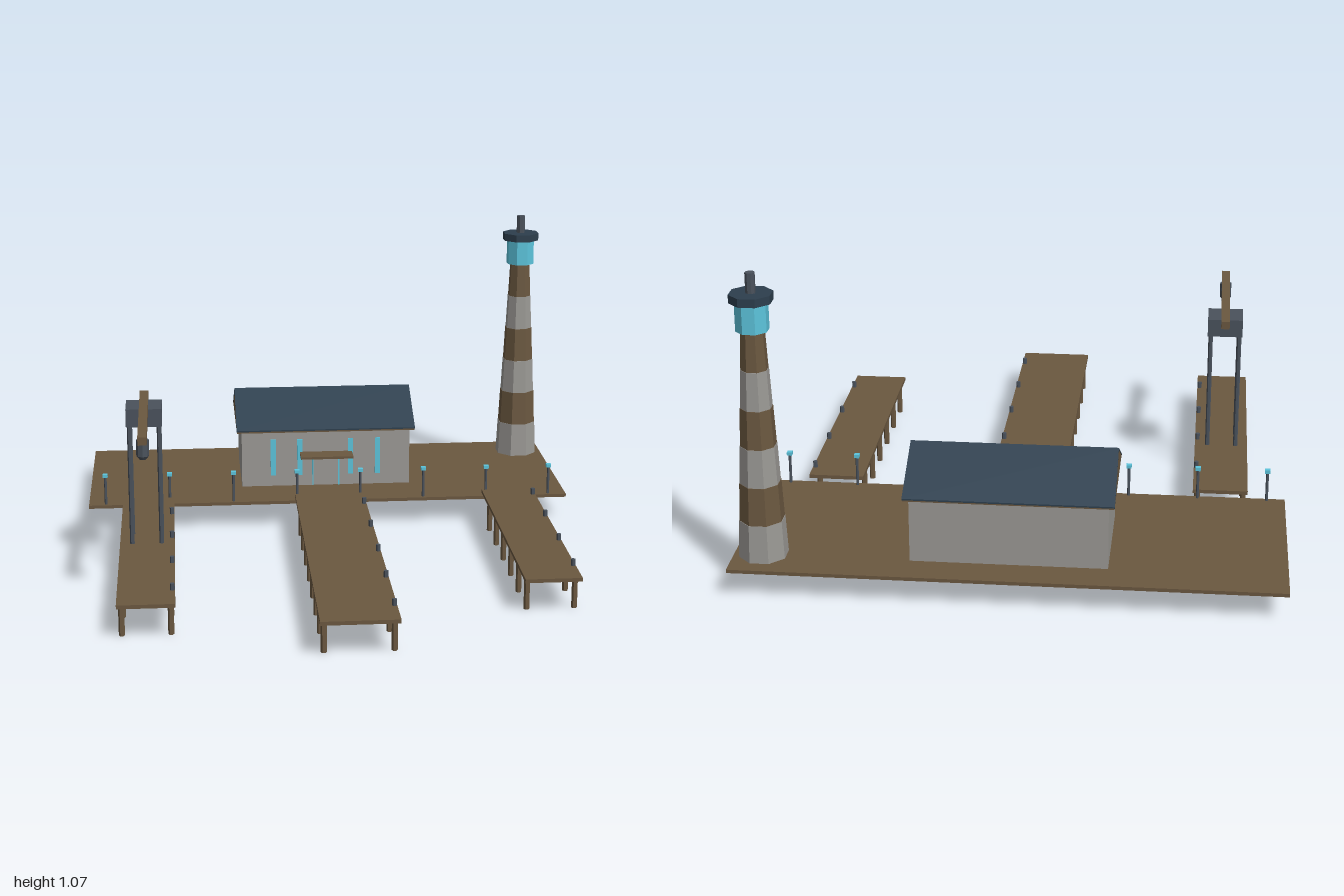
import * as THREE from 'three';

const mat = (name, color, extra = {}) => {
  const m = new THREE.MeshStandardMaterial({ color, flatShading: true, ...extra });
  m.name = name;
  return m;
};

export function createModel() {
  const wood = mat('weathered wood', 0x6b5840);
  const stone = mat('grey plaster', 0x9b9995);
  const slate = mat('slate blue', 0x2d3f4e);
  const steel = mat('dark steel', 0x4a525c);
  const glow = mat('cyan glass', 0x5cc4dc);

  const root = new THREE.Group();
  root.name = 'harbour';
  const group = (name) => {
    const g = new THREE.Group();
    g.name = name;
    root.add(g);
    return g;
  };
  const add = (parent, name, geo, material, x, y, z) => {
    const m = new THREE.Mesh(geo, material);
    m.name = name;
    m.position.set(x, y, z);
    parent.add(m);
    return m;
  };
  // box given by its limits
  const box = (parent, name, material, x0, x1, y0, y1, z0, z1) =>
    add(parent, name, new THREE.BoxGeometry(x1 - x0, y1 - y0, z1 - z0), material,
      (x0 + x1) / 2, (y0 + y1) / 2, (z0 + z1) / 2);
  // upright prism from y0 to y1
  const post = (parent, name, material, x, z, y0, y1, rBottom, rTop = rBottom, sides = 6) => {
    const geo = new THREE.CylinderGeometry(rTop, rBottom, y1 - y0, sides);
    geo.rotateY(Math.PI / sides);
    return add(parent, name, geo, material, x, (y0 + y1) / 2, z);
  };

  // quay platform
  box(root, 'quay', wood, -0.9, 0.9, 0.088, 0.1, -1, -0.295);

  // piers with paired piles and a row of bollards along the +x edge
  const piers = [
    { name: 'rightPier', x0: -0.772, x1: -0.582, end: 0.8, piles: 7, bollard: -0.105, bollards: 4 },
    { name: 'centrePier', x0: -0.13, x1: 0.127, end: 0.992, piles: 8, bollard: -0.167, bollards: 5 },
    { name: 'leftPier', x0: 0.577, x1: 0.769, end: 0.672, piles: 6, bollard: -0.227, bollards: 4 },
  ];
  for (const p of piers) {
    const g = group(p.name);
    box(g, 'deck', wood, p.x0, p.x1, 0.112, 0.125, -0.295, p.end);
    for (let i = 0; i < p.piles; i++)
      for (const x of [p.x0 + 0.015, p.x1 - 0.015])
        post(g, 'pile', wood, x, p.end - 0.056 - i * 0.1605, 0, 0.113, 0.01);
    for (let i = 0; i < p.bollards; i++)
      post(g, 'bollard', steel, p.x1 - 0.009, p.bollard + i * 0.259, 0.124, 0.148, 0.008);
  }

  // quay lamps
  const lamps = group('lamps');
  for (let i = 0; i < 8; i++) {
    const x = -0.837 + i * 0.2385;
    post(lamps, 'lampPost', steel, x, -0.309, 0.1, 0.205, 0.005);
    box(lamps, 'lampHead', glow, x - 0.009, x + 0.009, 0.205, 0.217, -0.318, -0.3);
  }

  // harbour house
  const house = group('house');
  const mid = -0.682, front = -0.483;
  box(house, 'walls', stone, -0.322, 0.322, 0.1, 0.32, -0.881, front);
  // wooden gable prism
  const run = 0.208, eave = 0.324, ridge = 0.434, base = 0.314;
  const gable = new THREE.Shape([[-run, base], [run, base], [run, eave], [0, ridge], [-run, eave]]
    .map(([a, b]) => new THREE.Vector2(a, b)));
  const gableGeo = new THREE.ExtrudeGeometry(gable, { depth: 0.68, bevelEnabled: false });
  gableGeo.rotateY(Math.PI / 2);
  add(house, 'gables', gableGeo, wood, -0.34, 0, mid);
  // slate slopes
  for (const s of [1, -1]) {
    const slope = new THREE.Shape([[0, ridge], [s * 0.214, 0.321], [s * 0.214, 0.326], [0, 0.439]]
      .map(([a, b]) => new THREE.Vector2(a, b)));
    const geo = new THREE.ExtrudeGeometry(slope, { depth: 0.683, bevelEnabled: false });
    geo.rotateY(Math.PI / 2);
    add(house, 'roofSlope', geo, slate, -0.3415, 0, mid);
  }
  // window strips, door frame and canopy
  for (const x of [-0.202, -0.1, 0.095, 0.199])
    box(house, 'window', glow, x - 0.01, x + 0.01, 0.143, 0.285, front, front + 0.005);
  for (const x of [-0.05, 0.05])
    box(house, 'doorJamb', glow, x - 0.0025, x + 0.0025, 0.1, 0.21, front, front + 0.004);
  box(house, 'doorLintel', glow, -0.0525, 0.0525, 0.206, 0.21, front, front + 0.004);
  box(house, 'canopy', wood, -0.1, 0.1, 0.225, 0.234, front, -0.408);

  // lighthouse: tapering octagonal bands
  const tower = group('lighthouse');
  const tx = 0.803, tz = -0.873, flat = 1 / Math.cos(Math.PI / 8);
  const band = 0.1295;
  const ring = (name, m, y0, y1, a, b = a) => post(tower, name, m, tx, tz, y0, y1, a * flat, b * flat, 8);
  for (let i = 0; i < 6; i++) {
    const a = 0.0755 - i * 0.0068;
    ring('towerBand', i % 2 ? wood : stone, 0.1 + i * band, 0.1 + (i + 1) * band, a, a - 0.0055);
  }
  ring('lantern', glow, 0.877, 0.972, 0.05);
  ring('lanternCap', slate, 0.972, 1.0, 0.066);
  ring('finial', steel, 1.0, 1.067, 0.015);

  // dock crane
  const crane = group('crane');
  const cx = -0.678, cz = 0.158;
  for (const sx of [1, -1])
    for (const sz of [1, -1])
      post(crane, 'craneLeg', steel, cx + sx * 0.051, cz + sz * 0.051, 0.124, 0.552, 0.008);
  box(crane, 'craneHead', steel, cx - 0.062, cx + 0.062, 0.55, 0.613, cz - 0.063, cz + 0.063);
  box(crane, 'jib', wood, cx - 0.015, cx + 0.015, 0.601, 0.629, 0.034, 0.612);
  const hook = new THREE.LatheGeometry([[0, 0], [0.012, 0], [0.021, 0.012], [0.021, 0.067], [0, 0.067]]
    .map(([r, y]) => new THREE.Vector2(r, y)), 8);
  add(crane, 'hookBlock', hook, steel, cx, 0.536, 0.548);

  return root;
}
